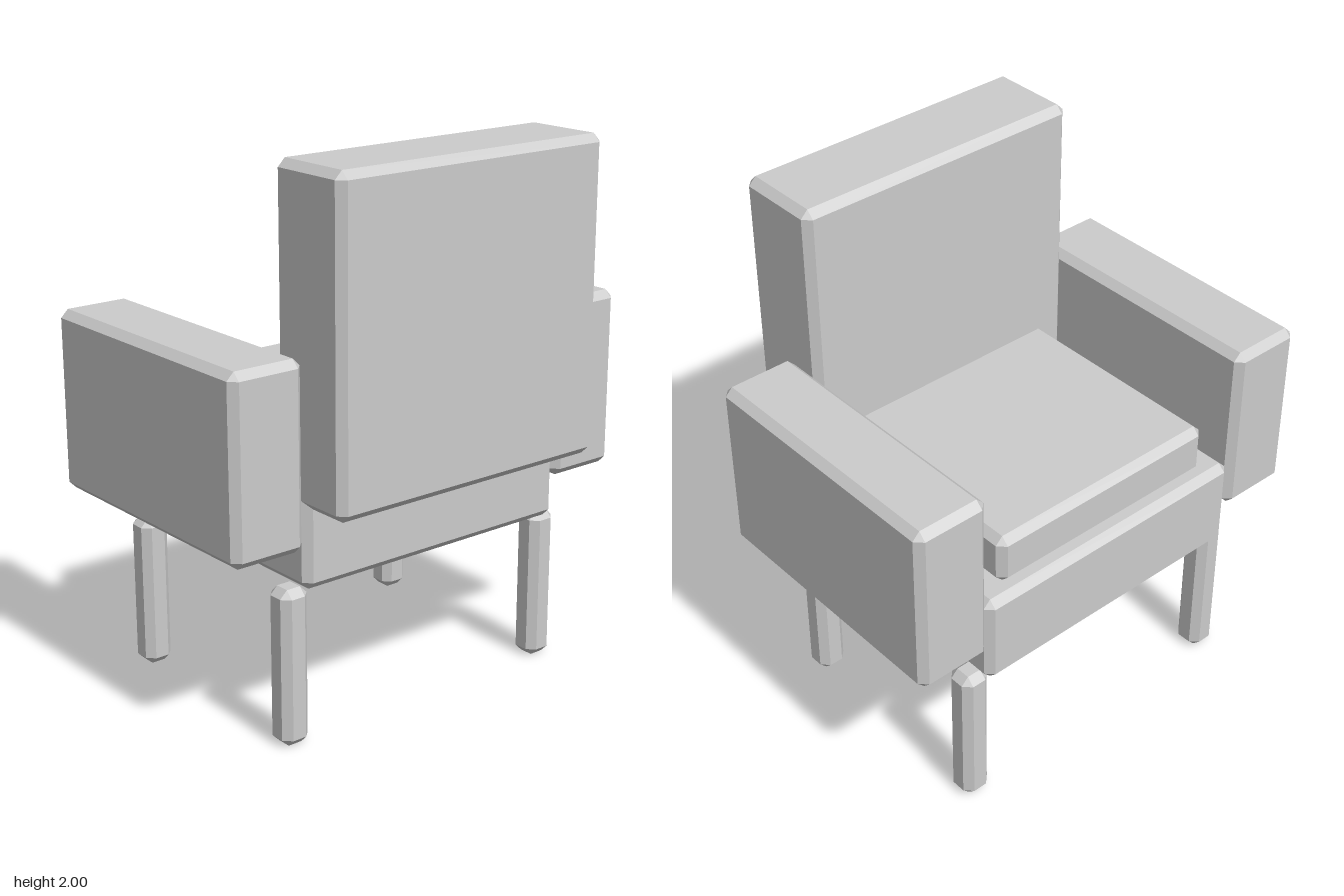
import * as THREE from 'three';
import { ConvexGeometry } from 'three/addons/geometries/ConvexGeometry.js';

const BEVEL = 0.028;
const material = new THREE.MeshStandardMaterial({ color: 0xcccccc, flatShading: true });

// Box with every edge chamfered and a triangular facet at each corner
function chamferedBox(w, h, d, b = BEVEL) {
  const points = [];
  for (const sx of [-1, 1]) for (const sy of [-1, 1]) for (const sz of [-1, 1]) {
    const x = w / 2, y = h / 2, z = d / 2;
    points.push(
      new THREE.Vector3(sx * x, sy * (y - b), sz * (z - b)),
      new THREE.Vector3(sx * (x - b), sy * y, sz * (z - b)),
      new THREE.Vector3(sx * (x - b), sy * (y - b), sz * z),
    );
  }
  return new ConvexGeometry(points);
}

// Adds a chamfered box spanning the given [min, max] ranges
function addBlock(group, name, [x0, x1], [y0, y1], [z0, z1]) {
  const mesh = new THREE.Mesh(chamferedBox(x1 - x0, y1 - y0, z1 - z0), material);
  mesh.position.set((x0 + x1) / 2, (y0 + y1) / 2, (z0 + z1) / 2);
  mesh.name = name;
  group.add(mesh);
}

export function createModel() {
  const chair = new THREE.Group();
  chair.name = 'armchair';

  // Seat, cushion and backrest (the backrest stands on the +z side)
  addBlock(chair, 'seatBase', [-0.57, 0.57], [0.577, 0.925], [-0.61, 0.43]);
  addBlock(chair, 'seatCushion', [-0.473, 0.473], [0.92, 1.11], [-0.56, 0.38]);
  addBlock(chair, 'backrest', [-0.57, 0.57], [0.865, 2], [0.272, 0.612]);

  // Mirrored arms and legs
  for (const [side, s] of [['left', 1], ['right', -1]]) {
    const span = (a, b) => (s > 0 ? [a, b] : [-b, -a]);
    addBlock(chair, `${side}Arm`, span(0.57, 0.855), [0.72, 1.38], [-0.612, 0.43]);
    addBlock(chair, `${side}LegUnderBack`, span(0.518, 0.628), [0, 0.573], [0.277, 0.387]);
    addBlock(chair, `${side}LegUnderSeatEdge`, span(0.518, 0.628), [0, 0.573], [-0.562, -0.452]);
  }
  return chair;
}
